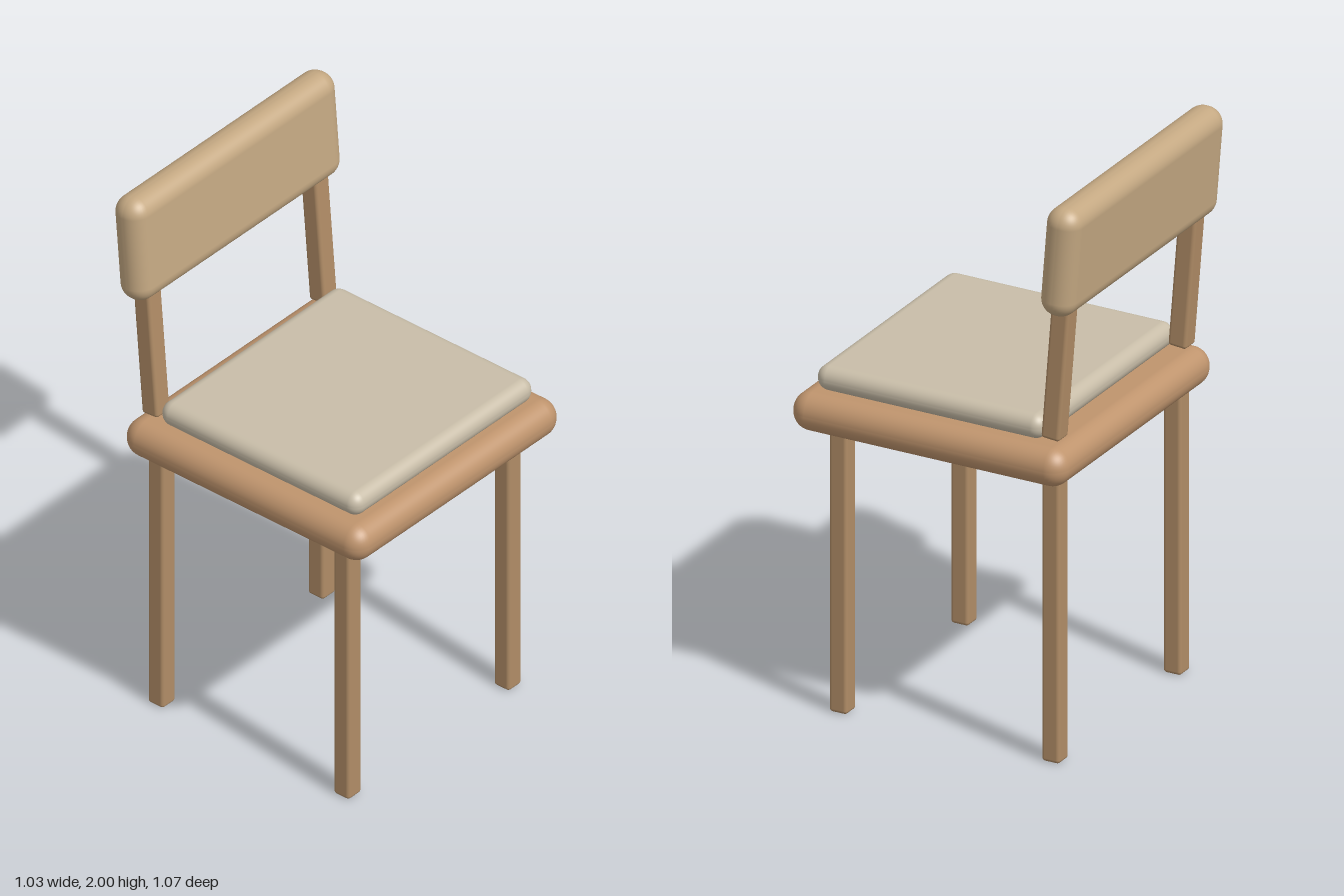
import * as THREE from 'three';
import { RoundedBoxGeometry } from 'three/addons/geometries/RoundedBoxGeometry.js';

const material = (color) => new THREE.MeshStandardMaterial({ color });

export function createModel() {
  const chair = new THREE.Group();
  chair.name = 'chair';

  const legWood = material(0xb08c66);
  const seatWood = material(0xbf946d);
  const backWood = material(0xc4a882);
  const fabric = material(0xc8bda8);

  // Adds one rounded block, centred on (x, y, z), to a parent
  const block = (parent, name, [w, h, d], radius, mat, [x, y, z]) => {
    const mesh = new THREE.Mesh(new RoundedBoxGeometry(w, h, d, 5, radius), mat);
    mesh.name = name;
    mesh.position.set(x, y, z);
    parent.add(mesh);
    return mesh;
  };

  // Seat slab with fully rounded edges, and the cushion on it
  block(chair, 'seat', [1.03, 0.135, 1.02], 0.065, seatWood, [0, 1.0675, 0.025]);
  block(chair, 'cushion', [0.9, 0.088, 0.847], 0.042, fabric, [0, 1.178, 0.047]);

  // Backrest assembly leans back about the foot of its posts
  const back = new THREE.Group();
  back.name = 'back';
  back.position.set(0, 1.155, -0.408);
  back.rotation.x = -0.08;
  chair.add(back);
  block(back, 'backrest', [1.024, 0.39, 0.125], 0.06, backWood, [0, 0.652, 0]);

  for (const [side, s] of [['left', 1], ['right', -1]]) {
    block(back, `${side}BackPost`, [0.068, 0.55, 0.068], 0.012, legWood, [s * 0.418, 0.275, 0]);
    block(chair, `${side}FrontLeg`, [0.066, 1.03, 0.066], 0.012, legWood, [s * 0.4, 0.515, 0.39]);
    block(chair, `${side}BackLeg`, [0.066, 1.03, 0.066], 0.012, legWood, [s * 0.4, 0.515, -0.4]);
  }

  return chair;
}
